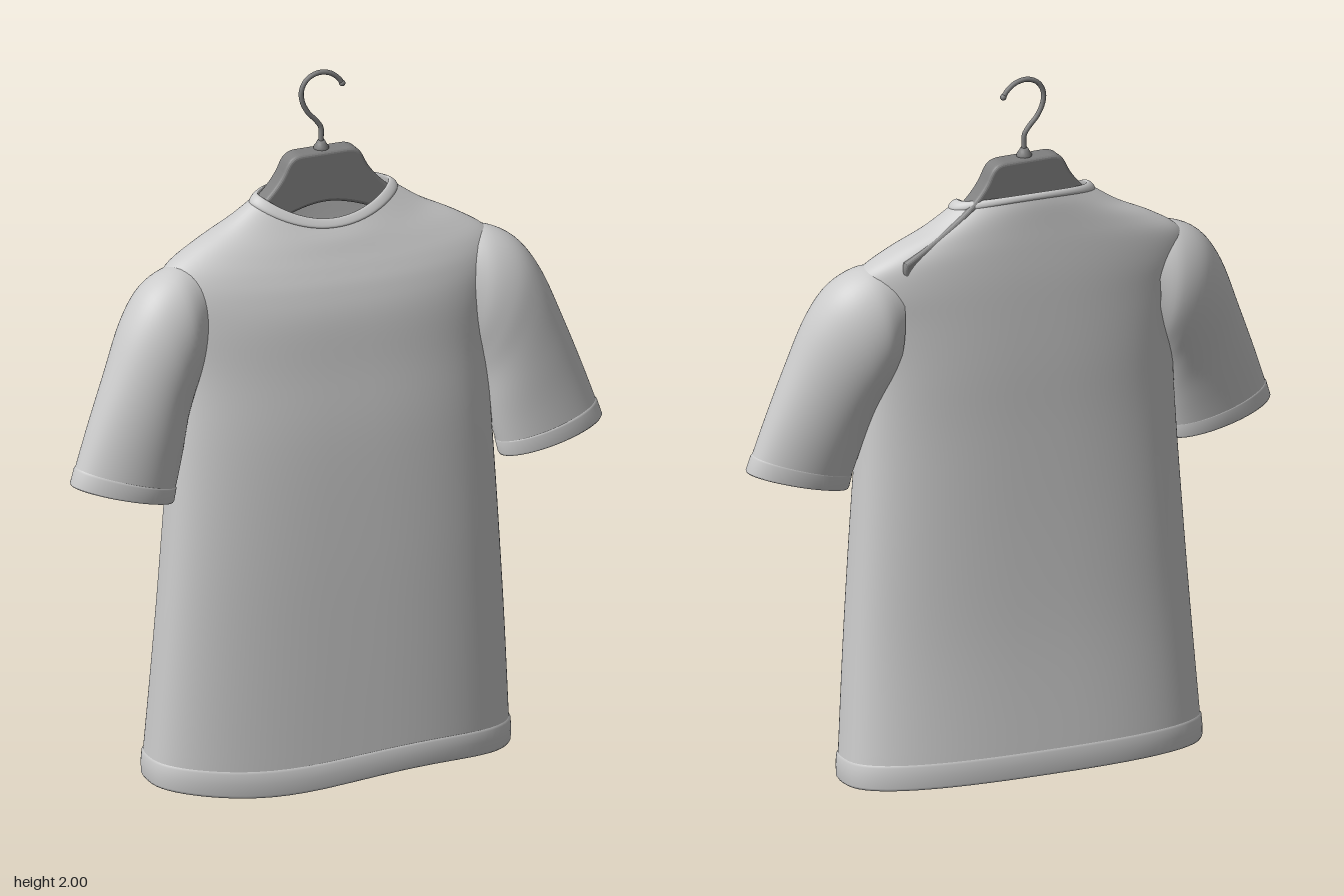
import * as THREE from 'three';

const SEG = 72;
const fabric = new THREE.MeshStandardMaterial({ color: 0xcccccc, side: THREE.DoubleSide });
const dark = new THREE.MeshStandardMaterial({ color: 0x808080 });

// Smoothly subdivides a list of stations (arrays of equal length)
function refine(stations, steps) {
  const out = [];
  const at = i => stations[Math.max(0, Math.min(stations.length - 1, i))];
  for (let i = 0; i < stations.length - 1; i++) {
    for (let k = 0; k < steps; k++) {
      const t = k / steps;
      out.push(at(i).map((p1, c) => {
        const p0 = at(i - 1)[c], p2 = at(i + 1)[c], p3 = at(i + 2)[c];
        return p1 + 0.5 * t * (p2 - p0 + t * (2 * p0 - 5 * p1 + 4 * p2 - p3 + t * (3 * (p1 - p2) + p3 - p0)));
      }));
    }
  }
  out.push(at(stations.length - 1));
  return out;
}

// Skins closed rings; ring(station, angle) gives a point [x, y, z]
function loft(name, stations, ring, flip = false) {
  const pos = [], idx = [];
  stations.forEach((st, i) => {
    for (let j = 0; j < SEG; j++) {
      pos.push(...ring(st, (j / SEG) * Math.PI * 2));
      if (i === 0) continue;
      const k = (j + 1) % SEG, lo = (i - 1) * SEG, hi = i * SEG;
      if (flip) idx.push(lo + j, lo + k, hi + j, lo + k, hi + k, hi + j);
      else idx.push(lo + j, hi + j, lo + k, lo + k, hi + j, hi + k);
    }
  });
  const geo = new THREE.BufferGeometry();
  geo.setAttribute('position', new THREE.Float32BufferAttribute(pos, 3));
  geo.setIndex(idx);
  geo.computeVertexNormals();
  const mesh = new THREE.Mesh(geo, fabric);
  mesh.name = name;
  return mesh;
}

// Body ring: [side y, front y, back y, half width, front z, back z, squareness]
function bodyRing([yS, yF, yB, hw, zf, zb, n], a) {
  const c = Math.cos(a), s = Math.sin(a);
  const round = v => Math.sign(v) * Math.pow(Math.abs(v), 2 / n);
  const x = hw * round(c);
  const z = (zf + zb) / 2 + (round(s) * (zf - zb)) / 2 + 0.05 * x;
  let y = yS + ((s > 0 ? yF : yB) - yS) * s * s;
  // the lower edge hangs in a slight wave
  const sway = Math.max(0, 1 - y / 0.5);
  y += sway * (0.018 * Math.sin(x * Math.PI / 0.5) * Math.max(0, s) + 0.012 * (1 - s));
  return [x, y, z];
}

// Sleeve ring: [outer x, outer y, inner x, inner y, half depth, centre z]
const sleeveRing = side => ([ox, oy, ix, iy, d, zc], a) => {
  const c = Math.cos(a), x = side * ((ox + ix) / 2 + (c * (ox - ix)) / 2);
  return [x, (oy + iy) / 2 + (c * (oy - iy)) / 2, zc + d * Math.sin(a) + 0.04 * x];
};

function addShirt(group) {
  const body = [
    [0.09, 0.09, 0.09, 0.513, 0.178, -0.183, 2.6],
    [0.40, 0.40, 0.40, 0.494, 0.18, -0.155, 2.6],
    [0.70, 0.70, 0.70, 0.474, 0.18, -0.14, 2.6],
    [1.00, 1.00, 1.00, 0.455, 0.174, -0.132, 2.5],
    [1.20, 1.20, 1.20, 0.446, 0.158, -0.13, 2.5],
    [1.34, 1.34, 1.35, 0.465, 0.147, -0.126, 2.4],
    [1.43, 1.42, 1.45, 0.485, 0.13, -0.122, 2.3],
    [1.495, 1.47, 1.53, 0.465, 0.112, -0.116, 2.2],
    [1.55, 1.51, 1.59, 0.385, 0.095, -0.11, 2.1],
    [1.60, 1.55, 1.645, 0.285, 0.078, -0.104, 2],
    [1.65, 1.582, 1.672, 0.21, 0.06, -0.098, 2],
  ];
  group.add(loft('shirtBody', refine(body, 5), bodyRing));

  // hem band, folded inward at the bottom
  const hem = [
    [0.05, 0.05, 0.05, 0.503, 0.168, -0.175, 2.6],
    [0.024, 0.024, 0.024, 0.506, 0.171, -0.179, 2.6],
    [0.02, 0.02, 0.02, 0.513, 0.178, -0.186, 2.6],
    [0.028, 0.028, 0.028, 0.518, 0.183, -0.19, 2.6],
    [0.06, 0.06, 0.06, 0.519, 0.184, -0.189, 2.6],
    [0.088, 0.088, 0.088, 0.517, 0.183, -0.187, 2.6],
    [0.095, 0.095, 0.095, 0.512, 0.177, -0.182, 2.6],
  ];
  group.add(loft('hemBand', hem, bodyRing));

  // ribbed neck band, rolled over its upper edge
  const collar = [
    [1.645, 1.577, 1.667, 0.211, 0.06, -0.098, 2],
    [1.653, 1.582, 1.674, 0.211, 0.064, -0.101, 2],
    [1.664, 1.592, 1.682, 0.203, 0.06, -0.099, 2],
    [1.671, 1.602, 1.686, 0.192, 0.053, -0.094, 2],
    [1.668, 1.600, 1.684, 0.186, 0.048, -0.09, 2],
    [1.645, 1.578, 1.665, 0.192, 0.052, -0.09, 2],
  ];
  group.add(loft('neckBand', refine(collar, 3), bodyRing));

  const sleeve = [
    [0.37, 1.50, 0.38, 1.20, 0.09, 0.0],
    [0.45, 1.508, 0.395, 1.17, 0.118, 0.008],
    [0.535, 1.465, 0.41, 1.13, 0.124, 0.018],
    [0.60, 1.375, 0.425, 1.08, 0.115, 0.03],
    [0.66, 1.23, 0.44, 1.01, 0.10, 0.045],
    [0.715, 1.085, 0.455, 0.945, 0.088, 0.055],
    [0.757, 0.965, 0.472, 0.882, 0.079, 0.063],
  ];
  const cuff = [
    [0.748, 0.99, 0.469, 0.905, 0.08, 0.062],
    [0.753, 0.985, 0.465, 0.90, 0.084, 0.062],
    [0.766, 0.945, 0.472, 0.866, 0.081, 0.065],
    [0.764, 0.94, 0.475, 0.861, 0.078, 0.065],
    [0.757, 0.943, 0.481, 0.864, 0.073, 0.065],
    [0.745, 0.98, 0.477, 0.90, 0.073, 0.062],
  ];
  for (const [label, side] of [['left', 1], ['right', -1]]) {
    group.add(loft(label + 'Sleeve', refine(sleeve, 5), sleeveRing(side), side > 0));
    group.add(loft(label + 'Cuff', cuff, sleeveRing(side), side > 0));
  }
}

function addHanger(group) {
  const hanger = new THREE.Group();
  hanger.name = 'hanger';
  hanger.position.z = -0.034;

  // broad shoulder board with arms hidden inside the shirt
  const board = new THREE.Shape();
  board.moveTo(0, 1.765);
  board.lineTo(0.065, 1.765);
  board.bezierCurveTo(0.095, 1.765, 0.1, 1.75, 0.112, 1.725);
  board.bezierCurveTo(0.13, 1.69, 0.16, 1.66, 0.19, 1.635);
  board.quadraticCurveTo(0.27, 1.575, 0.36, 1.525);
  board.quadraticCurveTo(0.375, 1.49, 0.34, 1.49);
  board.quadraticCurveTo(0.12, 1.638, 0, 1.638);
  board.quadraticCurveTo(-0.12, 1.638, -0.34, 1.49);
  board.quadraticCurveTo(-0.375, 1.49, -0.36, 1.525);
  board.quadraticCurveTo(-0.27, 1.575, -0.19, 1.635);
  board.bezierCurveTo(-0.16, 1.66, -0.13, 1.69, -0.112, 1.725);
  board.bezierCurveTo(-0.1, 1.75, -0.095, 1.765, -0.065, 1.765);
  board.closePath();
  const boardGeo = new THREE.ExtrudeGeometry(board, {
    depth: 0.036, bevelEnabled: true, bevelSize: 0.01, bevelThickness: 0.012, bevelSegments: 4, curveSegments: 14,
  }).translate(0, 0, -0.018);
  const add = (name, geo) => {
    const mesh = new THREE.Mesh(geo, dark);
    mesh.name = name;
    hanger.add(mesh);
    return mesh;
  };
  add('hangerBoard', boardGeo);

  // ferrule at the foot of the hook
  const ferrule = [[0, 1.765], [0.021, 1.765], [0.021, 1.78], [0.014, 1.79], [0.01, 1.798], [0, 1.798]];
  add('hookFerrule', new THREE.LatheGeometry(ferrule.map(p => new THREE.Vector2(...p)), 20));

  // wire hook with a rounded tip
  const path = [
    [0, 1.775], [0, 1.805], [-0.001, 1.835], [-0.016, 1.858], [-0.038, 1.882], [-0.055, 1.915],
    [-0.058, 1.948], [-0.042, 1.978], [-0.01, 1.993], [0.025, 1.988], [0.05, 1.97], [0.062, 1.953],
  ].map(([x, y]) => new THREE.Vector3(x, y, 0));
  add('hookWire', new THREE.TubeGeometry(new THREE.CatmullRomCurve3(path), 64, 0.007, 10));
  add('hookTip', new THREE.SphereGeometry(0.009, 14, 10)).position.copy(path[path.length - 1]);
  group.add(hanger);
}

export function createModel() {
  const group = new THREE.Group();
  group.name = 'shirtOnHanger';
  addShirt(group);
  addHanger(group);
  return group;
}
